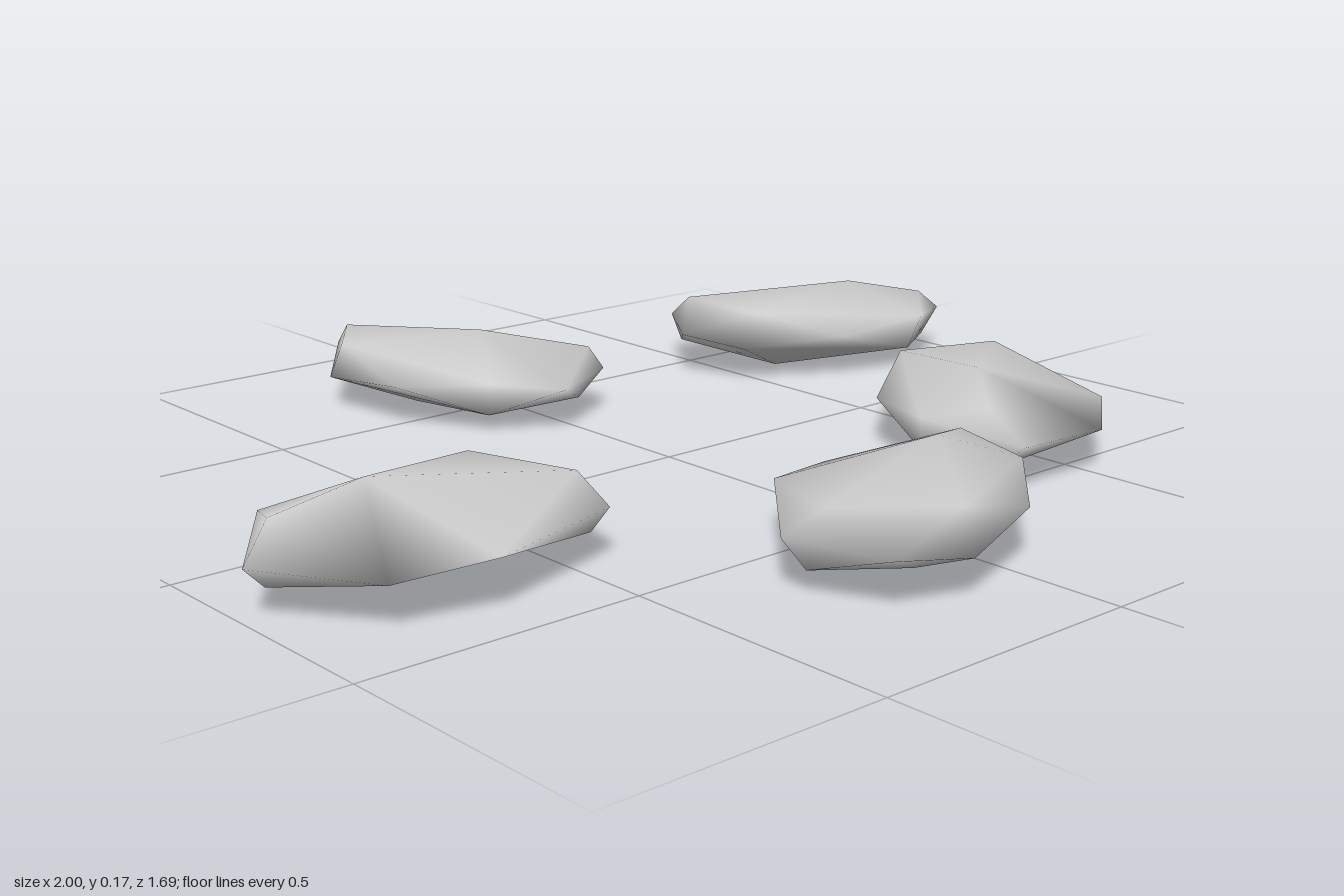
import * as THREE from 'three';
import { ConvexGeometry } from 'three/addons/geometries/ConvexGeometry.js';
import { mergeVertices } from 'three/addons/utils/BufferGeometryUtils.js';

const MID = 0.0835; // half the stone's thickness

// One flat pebble: the convex skin around a few points, shaded smooth
function stoneGeometry() {
  const points = [
    // rim
    [-0.25, 0.087, -0.178], [0.028, 0.09, -0.238], [0.187, 0.075, -0.18], [0.306, 0.085, 0],
    [0.174, 0.108, 0.147], [-0.029, 0.09, 0.172], [-0.22, 0.068, 0.105], [-0.309, 0.085, 0],
    // upper shoulder and crown
    [0.232, 0.135, 0.04], [-0.24, 0.135, -0.115], [-0.19, 0.136, 0.085], [0.073, 0.167, 0.015],
    // lower shoulder and base
    [0.252, 0.037, 0.025], [-0.245, 0.038, -0.14], [0.15, 0.04, 0.135], [-0.094, 0, 0.003],
  ].map(([x, y, z]) => new THREE.Vector3(x, y - MID, z));

  const hull = new ConvexGeometry(points);
  hull.deleteAttribute('normal');
  const geometry = mergeVertices(hull);
  geometry.computeVertexNormals();
  return geometry;
}

export function createModel() {
  const group = new THREE.Group();
  group.name = 'stones';
  const stoneGrey = new THREE.MeshStandardMaterial({ color: 0xcccccc });
  stoneGrey.name = 'stoneGrey';
  const geometry = stoneGeometry();

  // x, z, turn in degrees, upside down
  const placements = [
    ['leftStone', 0.465, 0.31, 122.4, false],
    ['backLeftStone', 0.705, -0.335, 16.1, false],
    ['backStone', -0.095, -0.55, -100.4, true],
    ['rightStone', -0.695, 0.195, 175.3, false],
    ['frontStone', -0.03, 0.63, -35.8, false],
  ];
  for (const [name, x, z, turn, flipped] of placements) {
    const stone = new THREE.Mesh(geometry, stoneGrey);
    stone.name = name;
    stone.position.set(x, MID, z);
    stone.rotation.set(flipped ? Math.PI : 0, -THREE.MathUtils.degToRad(turn), 0, 'YXZ');
    group.add(stone);
  }
  return group;
}
